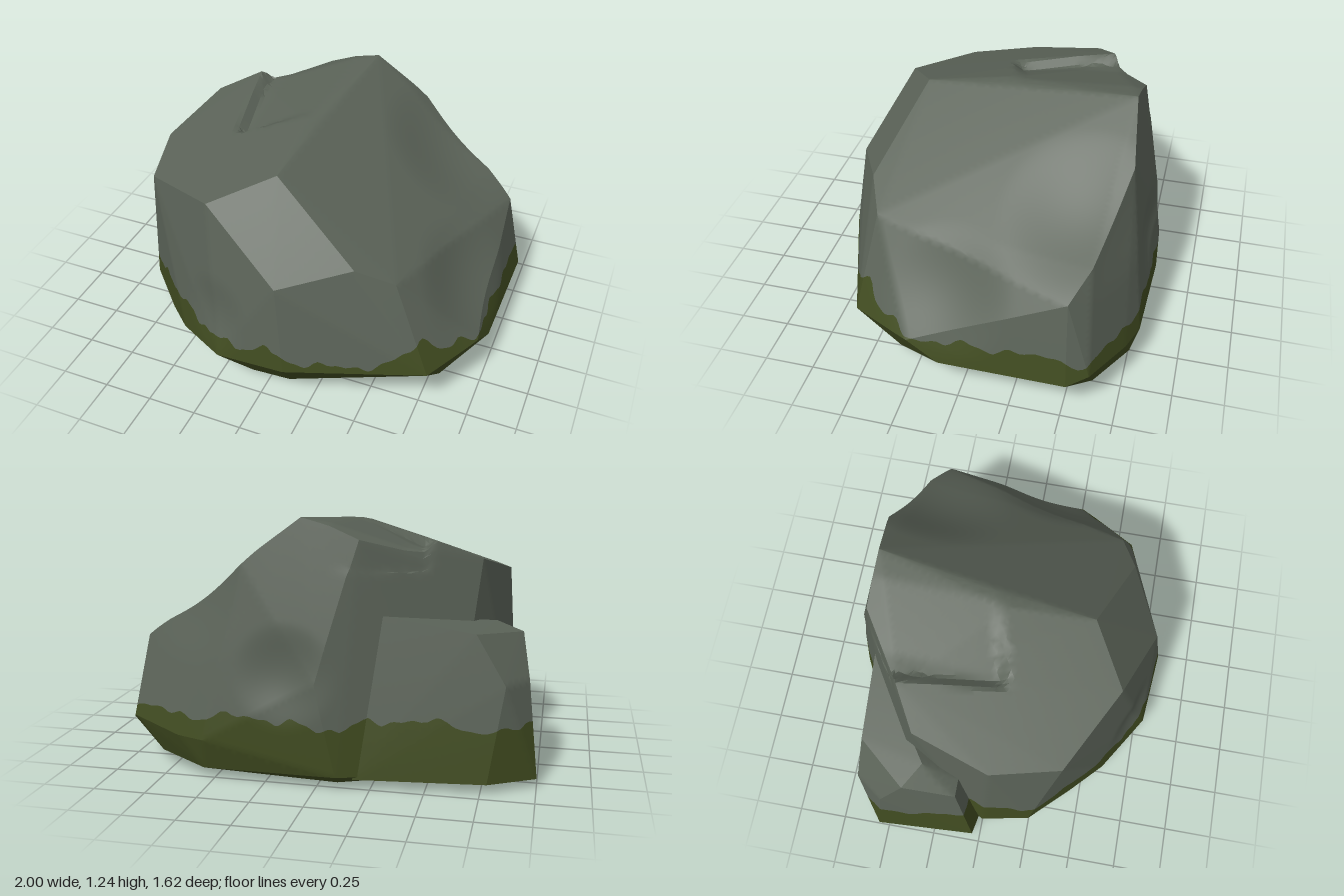
import * as THREE from 'three';
import { toCreasedNormals } from 'three/addons/utils/BufferGeometryUtils.js';
import { ConvexGeometry } from 'three/addons/geometries/ConvexGeometry.js';

const rock = new THREE.MeshStandardMaterial({ color: 0x5b6358, name: 'greyRock' });
const moss = new THREE.MeshStandardMaterial({ color: 0x404b20, name: 'darkMoss' });
const V = (p) => new THREE.Vector3(...p);
const { smoothstep, clamp } = THREE.MathUtils;

// corners of the main boulder
const boulderCorners = [
  // crown
  [0.09, 1.24, -0.65], [-0.18, 1.17, -0.66], [-0.06, 1.17, 0], [0, 1.175, -0.05], [-0.03, 1.11, 0.42],
  [-0.51, 1.12, -0.45], [-0.71, 1.03, -0.34], [-0.82, 0.93, 0.04], [-0.73, 0.9, 0.38], [-0.32, 0.99, 0.6],
  // shoulders
  [0.42, 0.8, 0.58], [0.6, 0.71, 0.5], [0.09, 0.71, 0.75], [0.91, 0.62, -0.5],
  [0.77, 0.74, -0.58], [0.37, 1.03, -0.69], [0, 0.5, -0.81],
  // girdle
  [0.15, 0.26, 0.81], [0.8, 0.26, 0.57], [0.97, 0.28, 0.26], [0.99, 0.19, 0.1], [1, 0.2, -0.52],
  [0.95, 0.24, -0.62], [0.68, 0.2, -0.75], [0.54, 0.2, -0.8], [-0.1, 0.07, -0.81],
  [-0.22, 0.21, 0.78], [-0.5, 0.15, 0.6], [-0.65, 0.11, 0.45], [-0.85, 0.15, 0.25],
  // underside
  [0.81, 0.07, 0.35], [0.81, 0.07, -0.62], [0.55, 0.05, -0.76], [-0.1, 0.03, -0.76], [-0.6, 0.03, -0.55],
  [-0.88, 0.03, 0], [-0.78, 0.01, 0.25], [-0.45, 0.005, 0.5], [-0.1, 0.01, 0.63], [0.1, 0.01, 0.62], [-0.2, 0, 0.29],
];

// corners of the low ledge leaning on the back left
const ledgeCorners = [
  [-0.28, 0.8, -0.64], [-0.71, 0.73, -0.62], [-0.91, 0.7, -0.38], [-0.89, 0.61, -0.12], [-0.78, 0.73, -0.3],
  [-0.95, 0.5, -0.5], [-0.85, 0.5, -0.64], [-0.8, 0.62, -0.12],
  [-1, 0.04, -0.55], [-0.78, 0.05, -0.7], [-0.17, 0.05, -0.765], [-0.97, 0.04, -0.04], [-0.86, 0.03, -0.02],
  [-0.3, 0.03, -0.6], [-0.3, 0.5, -0.5],
];

// shallow hollows: centre, radius, push
const dents = [
  [[0.56, 0.87, -0.5], 0.42, [-0.025, -0.035, 0]],
  [[0.85, 0.5, 0.1], 0.36, [-0.03, -0.015, -0.01]],
  [[-0.28, 0.42, 0.76], 0.24, [0, 0, -0.025]],
  [[0.15, 0.52, -0.78], 0.26, [0, 0, 0.035]],
].map(([c, r, d]) => [V(c), r, V(d)]);

function sculpt(p) {
  for (const [c, r, d] of dents) {
    const t = p.distanceTo(c) / r;
    if (t < 1) p.addScaledVector(d, (1 - t * t) ** 2);
  }
  // chipped slab on the crown: steep rim at the left and front, fading out to the right
  const left = p.x + 0.5 - 0.13 * (p.z + 0.45);
  const front = 0.07 - 0.3 * (p.x + 0.38) - p.z;
  const fade = clamp((-0.04 - p.x) / 0.33, 0, 1) * smoothstep(p.y, 0.98, 1.05);
  p.y -= 0.055 * fade * clamp(left / 0.05, 0, 1) * clamp(front / 0.06, 0, 1);
  return p;
}

// halve the longest edges until every triangle is small
function subdivide(a, b, c, max, out) {
  const ab = a.distanceTo(b), bc = b.distanceTo(c), ca = c.distanceTo(a);
  const longest = Math.max(ab, bc, ca);
  if (longest < max) return out.push(a, b, c);
  if (longest === bc) [a, b, c] = [b, c, a];
  else if (longest === ca) [a, b, c] = [c, a, b];
  const m = a.clone().add(b).multiplyScalar(0.5);
  subdivide(a, m, c, max, out);
  subdivide(m, b, c, max, out);
}

// ragged upper edge of the moss around the stone
function mossLine(p) {
  const a = Math.atan2(p.x, p.z);
  const bump = (at, width, h) => h * Math.exp(-(((a - at) / width) ** 2));
  return 0.312 + 0.018 * Math.sin(7 * a + 1) + 0.014 * Math.sin(17 * a) + 0.01 * Math.sin(31 * a + 2)
    + 0.007 * Math.sin(53 * a) + bump(0.96, 0.1, 0.1) + bump(0.07, 0.04, 0.05);
}

// keep the part of every triangle above or below the moss line
function clip(geo, sign) {
  const P = geo.attributes.position, N = geo.attributes.normal, pos = [], nor = [];
  const emit = (v) => { pos.push(...v.p); nor.push(...v.n); };
  for (let i = 0; i < P.count; i += 3) {
    const tri = [0, 1, 2].map((k) => {
      const p = new THREE.Vector3().fromBufferAttribute(P, i + k);
      return { p, n: new THREE.Vector3().fromBufferAttribute(N, i + k), g: sign * (p.y - mossLine(p)) };
    });
    const poly = [];
    tri.forEach((v, k) => {
      const w = tri[(k + 1) % 3];
      if (v.g >= 0) poly.push(v);
      if ((v.g >= 0) !== (w.g >= 0)) {
        const t = v.g / (v.g - w.g);
        poly.push({ p: v.p.clone().lerp(w.p, t), n: v.n.clone().lerp(w.n, t).normalize() });
      }
    });
    for (let k = 2; k < poly.length; k++) [poly[0], poly[k - 1], poly[k]].forEach(emit);
  }
  const out = new THREE.BufferGeometry();
  out.setAttribute('position', new THREE.Float32BufferAttribute(pos, 3));
  out.setAttribute('normal', new THREE.Float32BufferAttribute(nor, 3));
  return out;
}

function stone(name, corners, shape) {
  const hull = new ConvexGeometry(corners.map(V)).attributes.position;
  const pts = [];
  const at = (i) => new THREE.Vector3().fromBufferAttribute(hull, i);
  for (let i = 0; i < hull.count; i += 3) subdivide(at(i), at(i + 1), at(i + 2), 0.04, pts);
  const fine = new THREE.BufferGeometry().setFromPoints(pts.map((p) => shape(p.clone())));
  const geo = toCreasedNormals(fine, 0.38);
  const group = new THREE.Group();
  group.name = name;
  for (const [part, sign, mat] of [['Rock', 1, rock], ['Moss', -1, moss]]) {
    const mesh = new THREE.Mesh(clip(geo, sign), mat);
    mesh.name = name + part;
    group.add(mesh);
  }
  return group;
}

export function createModel() {
  const model = new THREE.Group();
  model.name = 'mossyBoulder';
  model.add(stone('boulder', boulderCorners, sculpt), stone('ledge', ledgeCorners, (p) => p));
  return model;
}
